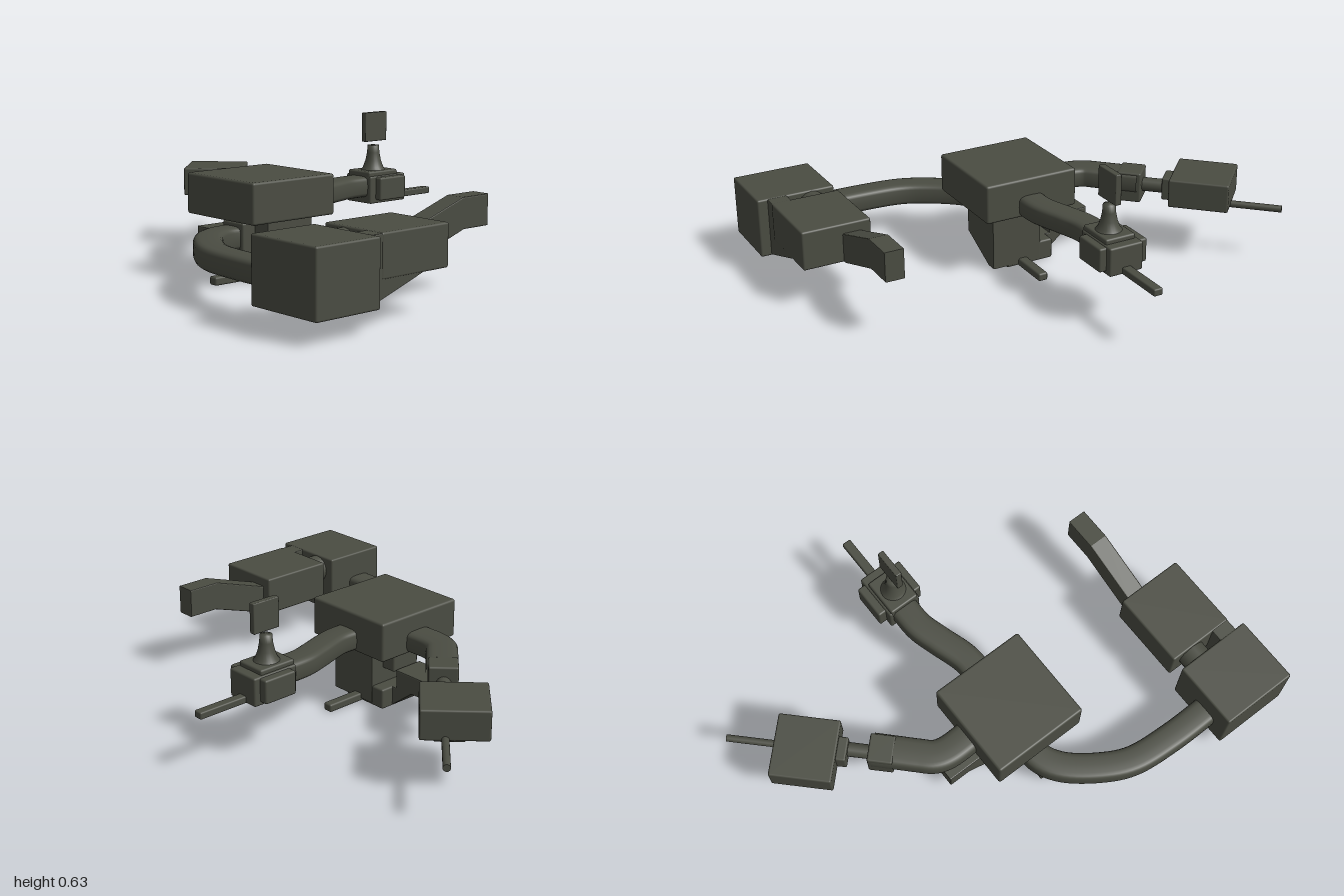
import * as THREE from 'three';
import { RoundedBoxGeometry } from 'three/addons/geometries/RoundedBoxGeometry.js';

const olive = new THREE.MeshStandardMaterial({ color: 0x4a4c42 });
olive.name = 'dark olive';

function add(parent, name, geometry) {
  const mesh = new THREE.Mesh(geometry, olive);
  mesh.name = name;
  parent.add(mesh);
  return mesh;
}

// Softened box given by its two extreme corners
function box(parent, name, [x0, y0, z0], [x1, y1, z1], r = 0.008) {
  const size = [x1 - x0, y1 - y0, z1 - z0];
  const g = new RoundedBoxGeometry(...size, 2, Math.min(r, Math.min(...size) / 2.5));
  g.translate((x0 + x1) / 2, (y0 + y1) / 2, (z0 + z1) / 2);
  return add(parent, name, g);
}

// Side profile in x and y, given depth in z
function profile(points, z0, z1) {
  const b = 0.005;
  const g = new THREE.ExtrudeGeometry(new THREE.Shape(points.map(p => new THREE.Vector2(...p))), {
    depth: z1 - z0 - 2 * b, bevelEnabled: true, bevelThickness: b, bevelSize: b, bevelOffset: -b, bevelSegments: 2,
  });
  return g.translate(0, 0, z0 + b);
}

// Horizontal arm with a rounded rectangular section swept along x,z points
function sweptArm(path, y, halfWidth, halfHeight, n = 40, sides = 20) {
  const curve = new THREE.CatmullRomCurve3(path.map(([x, z]) => new THREE.Vector3(x, y, z)));
  const position = [], index = [];
  const soft = v => Math.sign(v) * Math.pow(Math.abs(v), 0.5);
  for (let i = 0; i <= n; i++) {
    const p = curve.getPointAt(i / n), t = curve.getTangentAt(i / n);
    for (let j = 0; j < sides; j++) {
      const a = j / sides * Math.PI * 2;
      const w = halfWidth * soft(Math.cos(a)), h = halfHeight * soft(Math.sin(a));
      position.push(p.x - t.z * w, p.y + h, p.z + t.x * w);
      if (i < n) {
        const k = i * sides, q = (j + 1) % sides;
        index.push(k + j, k + sides + j, k + q, k + q, k + sides + j, k + sides + q);
      }
    }
  }
  const g = new THREE.BufferGeometry();
  g.setAttribute('position', new THREE.Float32BufferAttribute(position, 3));
  g.setIndex(index);
  g.computeVertexNormals();
  return g;
}

function rod(parent, name, x0, x1, y, z, r) {
  const g = new THREE.CylinderGeometry(r, r, x1 - x0, 16).rotateZ(Math.PI / 2);
  return add(parent, name, g.translate((x0 + x1) / 2, y, z));
}

export function createModel() {
  const model = new THREE.Group();
  model.name = 'armCluster';

  // Central hub
  const hub = new THREE.Group();
  hub.name = 'hub';
  model.add(hub);
  box(hub, 'upperHub', [-0.433, 0.265, -0.222], [-0.008, 0.433, 0.202], 0.01);
  add(hub, 'lowerHub', profile([[-0.307, 0.27], [-0.307, 0.11], [-0.12, 0.018], [-0.075, 0.018], [-0.075, 0.27]], -0.09, 0.14));
  box(hub, 'sideCollar', [-0.37, 0.12, -0.07], [-0.3, 0.25, 0.06]);
  box(hub, 'rearBlock', [-0.28, 0.16, -0.155], [-0.14, 0.27, -0.08]);
  box(hub, 'crossBar', [-0.475, 0.005, -0.025], [0.1, 0.04, 0.018]);
  box(hub, 'barHousing', [-0.307, 0.006, -0.15], [-0.08, 0.095, 0.07]);

  // Stepped foot behind the lower hub, drawn sideways then turned to -z
  const foot = add(hub, 'rearFoot', profile([[0.1, 0.01], [0.15, 0.01], [0.26, 0.095], [0.357, 0.095],
    [0.357, 0.177], [0.17, 0.177], [0.17, 0.095], [0.1, 0.095]], 0, 0.142));
  foot.rotation.y = Math.PI / 2;
  foot.position.x = -0.28;

  // Front arm with its large boxes and raised forearm
  const front = new THREE.Group();
  front.name = 'frontArm';
  model.add(front);
  add(front, 'frontCurvedArm', sweptArm([[-0.28, -0.01], [-0.43, -0.01], [-0.52, 0.04], [-0.63, 0.18], [-0.68, 0.29], [-0.7, 0.48], [-0.7, 0.7]], 0.185, 0.06, 0.048));
  box(front, 'elbowBox', [-0.826, 0.09, 0.66], [-0.528, 0.347, 1]);
  box(front, 'forearmBox', [-0.48, 0.18, 0.66], [-0.143, 0.347, 0.957]);
  add(front, 'bracket', profile([[-0.54, 0.095], [-0.52, 0.095], [-0.27, 0.18], [-0.27, 0.345], [-0.54, 0.345]], 0.87, 0.955));
  rod(front, 'elbowPin', -0.56, -0.45, 0.28, 0.762, 0.062);
  add(front, 'raisedForearm', profile([[-0.2, 0.18], [-0.13, 0.18], [0.13, 0.265], [0.265, 0.265],
    [0.265, 0.39], [0.12, 0.39], [-0.14, 0.305], [-0.2, 0.305]], 0.7, 0.784));

  // Left arm with a flared post, floating plate and thin rod
  const left = new THREE.Group();
  left.name = 'leftArm';
  model.add(left);
  add(left, 'leftCurvedArm', sweptArm([[-0.05, -0.01], [0.06, -0.01], [0.2, -0.05], [0.3, -0.077], [0.42, -0.08]], 0.312, 0.06, 0.046));
  box(left, 'leftHead', [0.395, 0.24, -0.155], [0.607, 0.36, -0.003]);
  box(left, 'leftHeadCheeks', [0.427, 0.255, -0.19], [0.58, 0.355, 0.028]);
  box(left, 'postBase', [0.395, 0.35, -0.145], [0.565, 0.38, -0.01]);
  const flare = [[0.058, 0.375], [0.045, 0.39], [0.034, 0.42], [0.027, 0.455], [0.025, 0.487], [0, 0.487]];
  add(left, 'flaredPost', new THREE.LatheGeometry(flare.map(p => new THREE.Vector2(...p)), 24).translate(0.48, 0, -0.075));
  box(left, 'floatingPlate', [0.42, 0.505, -0.087], [0.547, 0.632, -0.06], 0.004);
  box(left, 'leftRod', [0.59, 0.24, -0.1], [0.826, 0.27, -0.06], 0.006);

  // Back arm ending in a diagonal head
  const back = new THREE.Group();
  back.name = 'backArm';
  model.add(back);
  add(back, 'backCurvedArm', sweptArm([[-0.21, -0.18], [-0.21, -0.32], [-0.192, -0.373], [-0.15, -0.418], [-0.1, -0.467], [-0.015, -0.55]], 0.312, 0.066, 0.046));
  const head = new THREE.Group();
  head.name = 'diagonalHead';
  head.position.set(0.148, 0, -0.77);
  head.rotation.y = Math.PI / 4;
  back.add(head);
  box(head, 'headBox', [-0.128, 0.235, -0.133], [0.13, 0.36, 0.133]);
  box(head, 'headKeel', [-0.09, 0.225, -0.04], [0.12, 0.25, 0.08]);
  box(head, 'headNeck', [-0.168, 0.24, -0.03], [-0.1, 0.34, 0.072]);
  rod(head, 'wristPin', -0.3, -0.15, 0.29, 0.035, 0.03);
  box(head, 'wristCollar', [-0.36, 0.225, -0.024], [-0.255, 0.359, 0.096]);
  rod(head, 'headRod', 0.11, 0.347, 0.24, 0.035, 0.015);

  return model;
}
